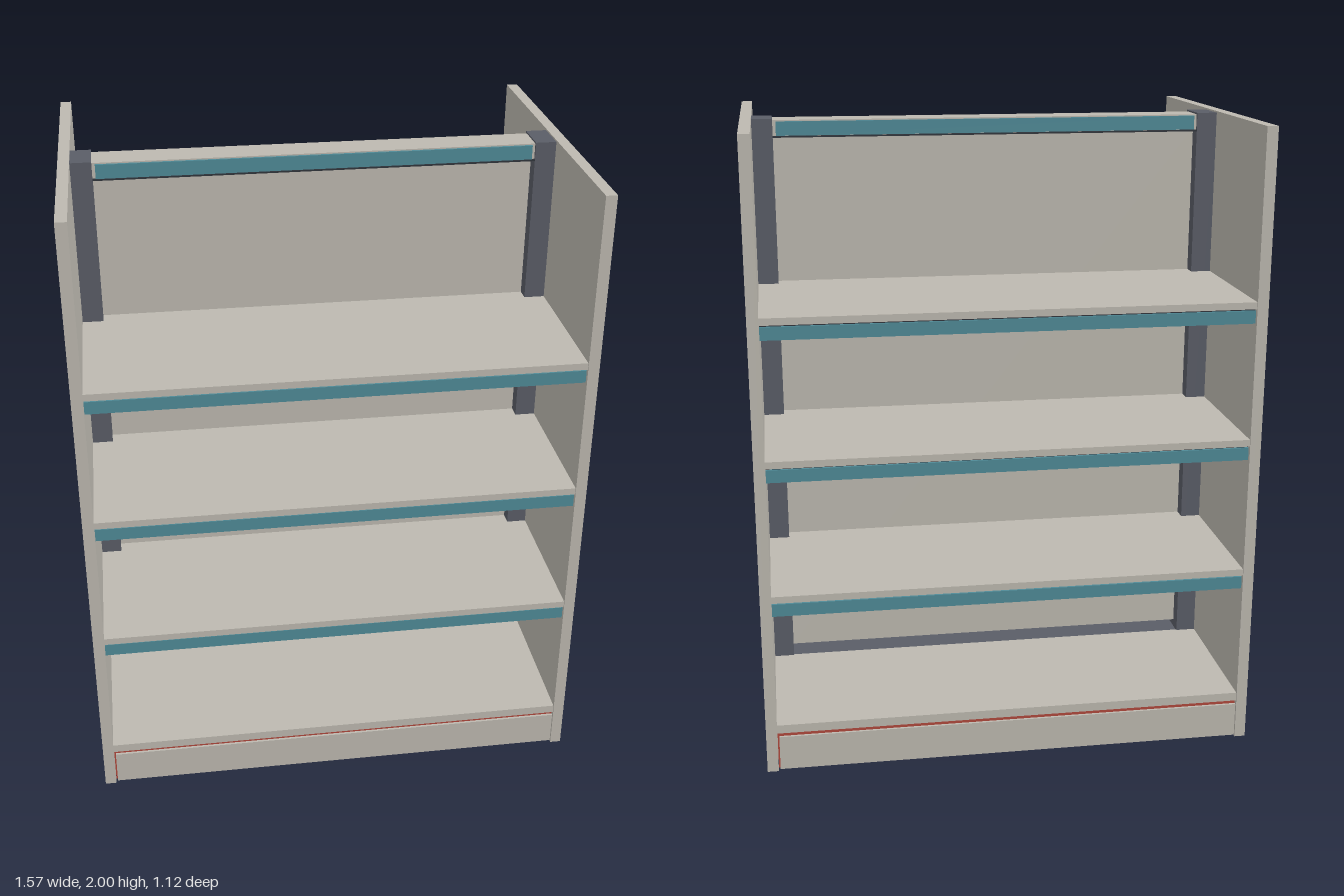
import * as THREE from 'three';

const material = (name, color) => {
  const m = new THREE.MeshStandardMaterial({ color });
  m.name = name;
  return m;
};

export function createModel() {
  const root = new THREE.Group();
  root.name = 'doubleSidedShelfUnit';
  const board = material('warm grey board', 0xbdb9b0);
  const steel = material('slate steel', 0x5a5d67);
  const teal = material('teal strip', 0x4f8a97);
  const dark = material('dark channel', 0x30343b);
  const red = material('red trim', 0xb0483c);

  // Box given by its minimum and maximum corners
  const box = (parent, name, mat, [x0, y0, z0], [x1, y1, z1]) => {
    const mesh = new THREE.Mesh(new THREE.BoxGeometry(x1 - x0, y1 - y0, z1 - z0), mat);
    mesh.position.set((x0 + x1) / 2, (y0 + y1) / 2, (z0 + z1) / 2);
    mesh.name = name;
    parent.add(mesh);
    return mesh;
  };

  // End panels and uprights
  for (const [side, s] of [['left', 1], ['right', -1]]) {
    const panel = box(root, side + 'EndPanel', board, [0.75, 0, -0.56], [0.785, 2, 0.56]);
    const post = box(root, side + 'Post', steel, [0.685, 0.13, -0.06], [0.75, 1.995, 0.06]);
    panel.position.x *= s;
    post.position.x *= s;
  }

  // Central back panel, top beam, base rail and plinth body
  box(root, 'backPanel', board, [-0.688, 0.18, -0.015], [0.688, 1.95, 0.015]);
  box(root, 'topBeam', board, [-0.685, 1.94, -0.052], [0.685, 1.99, 0.052]);
  box(root, 'baseRail', steel, [-0.75, 0.115, -0.055], [0.75, 0.155, 0.055]);
  box(root, 'plinthBody', board, [-0.748, 0.002, -0.535], [0.748, 0.125, 0.535]);

  // Triangular shelf arm, drawn in (z, y) and turned to run forward
  const arm = new THREE.Shape();
  arm.moveTo(0.055, 0);
  arm.lineTo(0.055, -0.11);
  arm.lineTo(0.09, -0.11);
  arm.lineTo(0.47, -0.025);
  arm.lineTo(0.47, 0);
  const armGeometry = new THREE.ExtrudeGeometry(arm, { depth: 0.016, bevelEnabled: false });
  armGeometry.translate(0, 0, -0.008);
  armGeometry.rotateY(-Math.PI / 2);

  // One side of the unit, used front and back
  const buildSide = (name) => {
    const g = new THREE.Group();
    g.name = name;

    // Base deck with kick plate and red trim
    box(g, 'baseDeck', board, [-0.75, 0.13, 0.055], [0.75, 0.158, 0.555]);
    box(g, 'redTrim', red, [-0.749, 0.004, 0.536], [0.749, 0.127, 0.544]);
    box(g, 'kickPlate', board, [-0.744, 0.002, 0.544], [0.75, 0.115, 0.552]);

    // Three shelves with front strips and arms
    for (const top of [0.597, 1.033, 1.472]) {
      const under = top - 0.022;
      box(g, 'shelf', board, [-0.75, under, 0.015], [0.75, top, 0.556]);
      box(g, 'stripChannel', dark, [-0.749, top - 0.066, 0.532], [0.749, under, 0.542]);
      box(g, 'tealStrip', teal, [-0.749, top - 0.068, 0.542], [0.749, top - 0.028, 0.55]);
      for (const x of [-0.708, 0.708]) {
        const mesh = new THREE.Mesh(armGeometry, steel);
        mesh.name = 'shelfArm';
        mesh.position.set(x, under, 0);
        g.add(mesh);
      }
    }

    // Teal strip on the top beam
    box(g, 'topStripChannel', dark, [-0.685, 1.936, 0.05], [0.685, 1.941, 0.06]);
    box(g, 'topTealStrip', teal, [-0.675, 1.942, 0.052], [0.675, 1.986, 0.06]);
    return g;
  };

  const front = buildSide('frontSide');
  const back = buildSide('backSide');
  back.rotation.y = Math.PI;
  root.add(front, back);
  return root;
}
